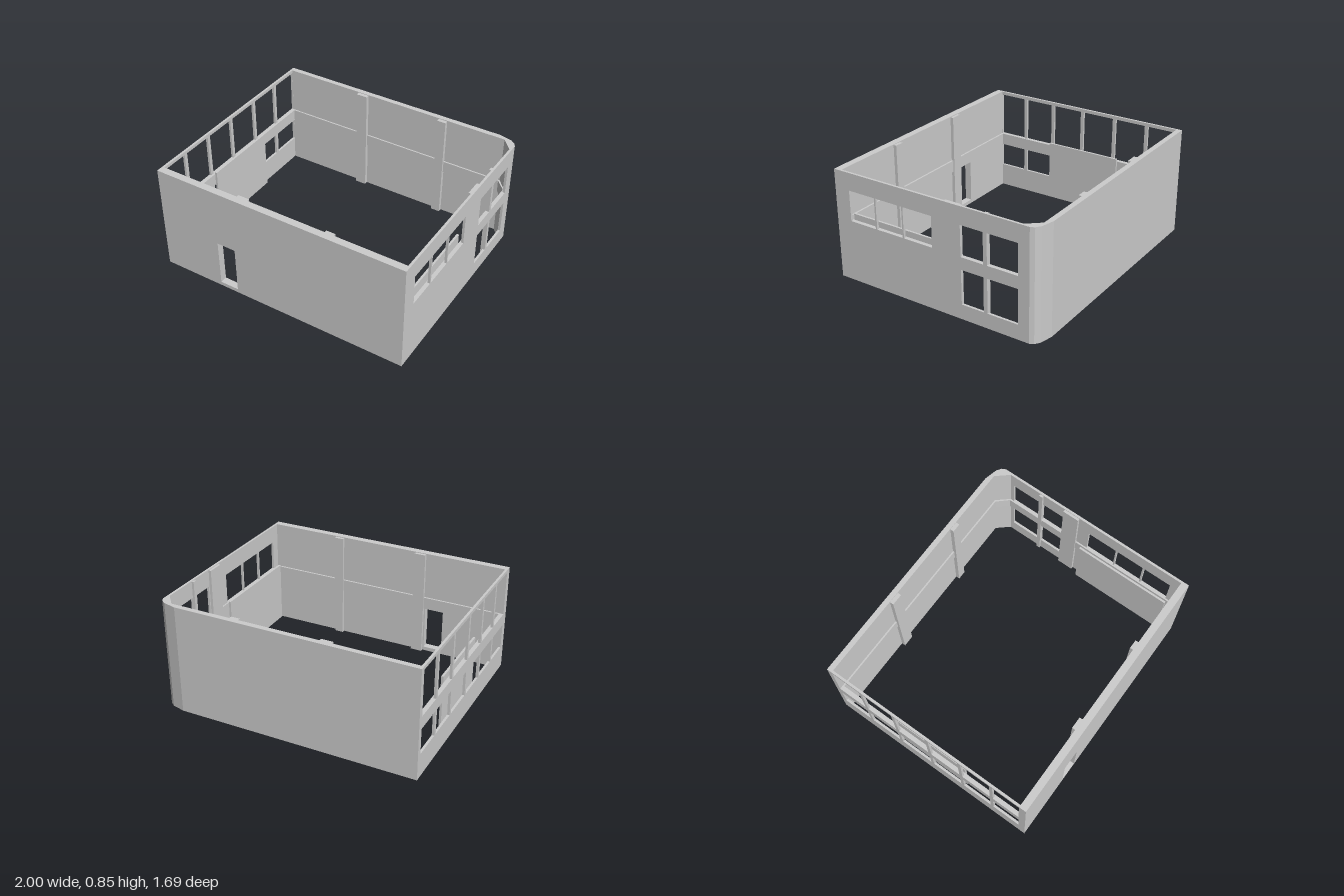
import * as THREE from 'three';

const H = 0.845;

export function createModel() {
  const model = new THREE.Group();
  const material = new THREE.MeshStandardMaterial({ color: 0xcccccc, flatShading: true });

  const add = (name, geometry) => {
    const mesh = new THREE.Mesh(geometry, material);
    mesh.name = name;
    model.add(mesh);
    return mesh;
  };

  // Box given by its limits on each axis
  const block = (name, x0, x1, y0, y1, z0, z1) =>
    add(name, new THREE.BoxGeometry(x1 - x0, y1 - y0, z1 - z0))
      .position.set((x0 + x1) / 2, (y0 + y1) / 2, (z0 + z1) / 2);

  const rect = (Kind, a0, a1, y0, y1) => new Kind([
    [a0, y0], [a1, y0], [a1, y1], [a0, y1],
  ].map(([a, y]) => new THREE.Vector2(a, y)));

  // Wall panel with rectangular openings [a0, a1, y0, y1]
  const panel = (a0, a1, openings, depth) => {
    const shape = rect(THREE.Shape, a0, a1, 0, H);
    shape.holes = openings.map((o) => rect(THREE.Path, ...o));
    return new THREE.ExtrudeGeometry(shape, { depth, bevelEnabled: false });
  };

  // Solid with a floor plan of [x, z] points, between two heights
  const plan = (name, points, y0, y1) => {
    const shape = new THREE.Shape(points.map(([x, z]) => new THREE.Vector2(x, -z)));
    const geometry = new THREE.ExtrudeGeometry(shape, { depth: y1 - y0, bevelEnabled: false });
    geometry.rotateX(-Math.PI / 2).translate(0, y0, 0);
    add(name, geometry);
  };

  // Front wall with doorway
  add('frontWall', panel(-1, 1, [[-0.51, -0.36, 0.03, 0.395]], 0.055)).position.z = 0.79;

  // Back wall running into the rounded corner
  plan('backWallAndCorner', [
    [-1, -0.845], [0.85, -0.845], [0.95, -0.82], [0.985, -0.795], [1, -0.765],
    [1, -0.71], [0.982, -0.71], [0.9, -0.805], [-1, -0.805],
  ], 0, H);

  // Right-hand wall: a row of three windows and a block of four
  const openings = [[0.495, 0.72], [0.256, 0.482], [0.005, 0.245]].map((z) => [...z, 0.475, 0.71]);
  for (const z of [[-0.41, -0.23], [-0.68, -0.44]]) {
    openings.push([...z, 0.475, 0.71], [...z, 0.115, 0.38]);
  }
  const windowWall = add('windowWall', panel(-0.71, 0.79, openings, 0.018));
  windowWall.rotation.y = -Math.PI / 2;
  windowWall.position.x = 1;

  // Glazed wall: two storeys of six bays
  const posts = [-0.555, -0.275, 0.015, 0.29, 0.555];
  const starts = [-0.805, ...posts.map((p) => p + 0.0125)];
  const ends = [...posts.map((p) => p - 0.0125), 0.79];
  const bays = starts.flatMap((z, i) => [
    [z + 0.001, ends[i] - 0.001, 0.475, 0.82],
    [z + 0.001, ends[i] - 0.001, 0.185, 0.38],
  ]);
  const glazedWall = add('glazedWall', panel(-0.805, 0.79, bays, 0.018));
  glazedWall.rotation.y = -Math.PI / 2;
  glazedWall.position.x = -0.982;

  // Storey band around the inside
  const [b0, b1] = [0.38, 0.475];
  block('frontBand', -0.982, 0.982, b0, b1, 0.775, 0.79);
  block('glazedBand', -0.982, -0.967, b0, b1, -0.805, 0.775);
  block('windowBand', 0.97, 0.982, b0, b1, -0.71, 0.775);
  plan('backBand', [
    [-0.967, -0.805], [0.9, -0.805], [0.982, -0.71], [0.97, -0.71], [0.893, -0.793], [-0.967, -0.793],
  ], b0, b1);

  // Columns against the front and back walls
  for (const [x0, x1] of [[-0.35, -0.26], [0.36, 0.43]]) {
    block('backColumn', x0, x1, 0, H - 0.005, -0.805, -0.775);
    block('frontColumn', x0, x1, 0, H - 0.005, 0.765, 0.79);
  }

  // Pilasters beside the block of four windows
  block('pilaster', 0.962, 0.982, 0, H - 0.005, -0.22, -0.09);
  block('windowPier', 0.965, 0.982, 0, H - 0.005, -0.44, -0.41);

  // Freestanding interior screens
  block('glazedSideScreen', -0.955, -0.938, 0.025, 0.505, -0.33, 0.29);
  block('windowSideScreen', 0.93, 0.946, 0.025, 0.505, -0.03, 0.74);

  return model;
}
